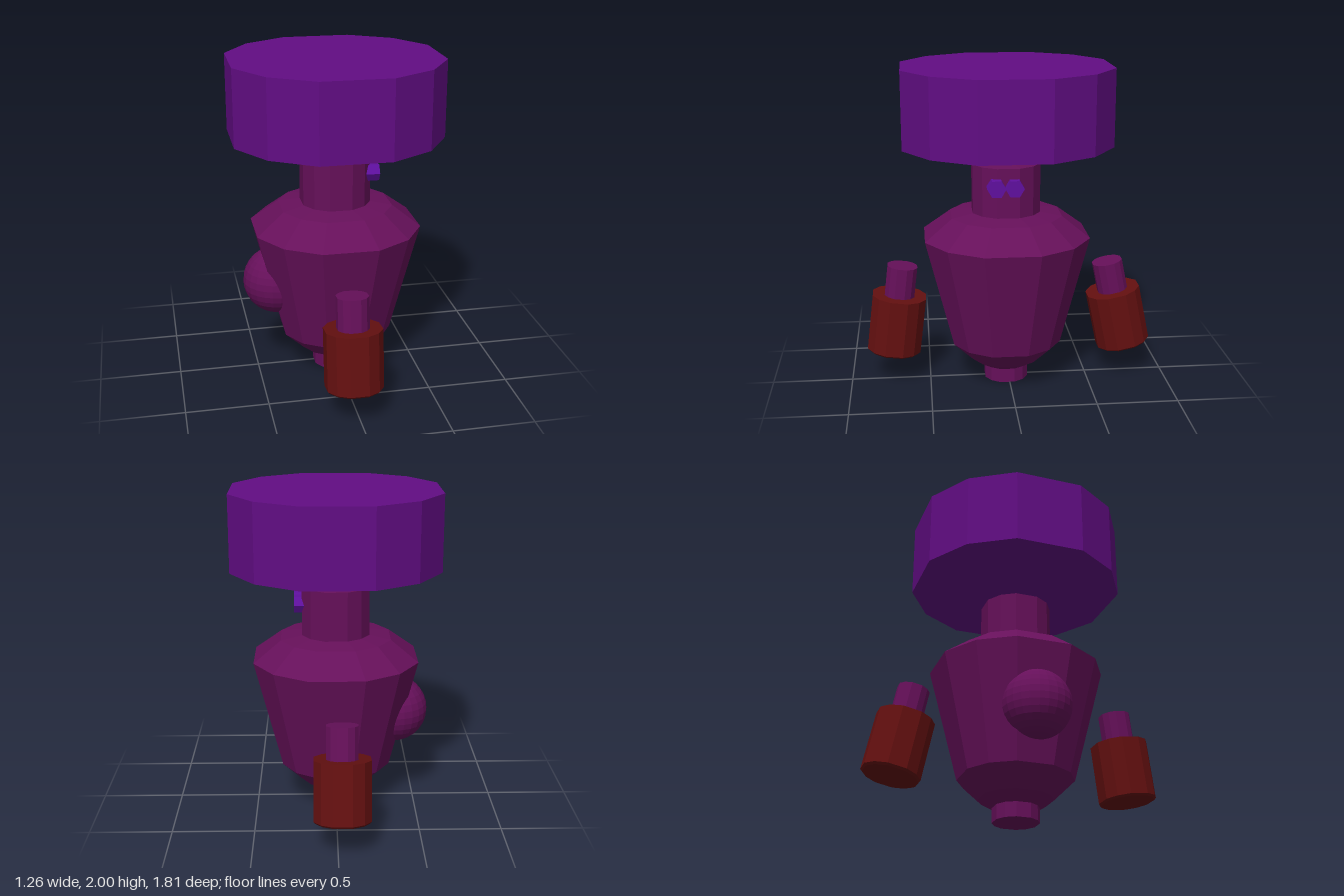
import * as THREE from 'three';

const mat = (color) => new THREE.MeshStandardMaterial({ color, flatShading: true });

// Twelve-sided turned solid; profile is [half width, y] from bottom to top.
// The corners are drawn a little towards the diagonals, so the four axis faces are wider.
function turned(profile) {
  const pts = profile.map(([w, y]) => new THREE.Vector2(w / 0.949, y));
  const geo = new THREE.LatheGeometry(pts, 12, Math.PI / 12);
  const pos = geo.attributes.position;
  for (let i = 0; i < pos.count; i++) {
    const r = Math.hypot(pos.getX(i), pos.getZ(i));
    const a = Math.atan2(pos.getX(i), pos.getZ(i));
    const b = a + 0.0686 * Math.sin(4 * a);
    pos.setX(i, r * Math.sin(b));
    pos.setZ(i, r * Math.cos(b));
  }
  geo.computeVertexNormals();
  return geo;
}

export function createModel() {
  const model = new THREE.Group();
  const plum = mat(0x66105a);
  const purple = mat(0x620d84);
  const violet = mat(0x6010a0);
  const red = mat(0x641010);

  const add = (name, geo, material, x, y, z, parent = model) => {
    const mesh = new THREE.Mesh(geo, material);
    mesh.name = name;
    mesh.position.set(x, y, z);
    parent.add(mesh);
    return mesh;
  };

  // Stem, tapered body, shoulders and neck in one profile
  add('body', turned([
    [0, 0], [0.134, 0], [0.134, 0.09], [0.215, 0.14], [0.335, 0.26],
    [0.505, 0.955], [0.338, 1.085], [0.207, 1.105], [0.207, 1.41], [0.13, 1.42], [0, 1.42],
  ]), plum, 0, 0, 0.014);

  // Wide head with a shallow conical underside
  add('head', turned([
    [0, 1.415], [0.13, 1.42], [0.63, 1.53], [0.63, 2], [0, 2],
  ]), purple, 0, 0, 0.012);

  // Pair of hexagonal eyes on the left side of the neck
  for (const z of [0.088, -0.021]) {
    const eye = add('eye', new THREE.CylinderGeometry(0.057, 0.057, 0.155, 6), violet, 0.178, 1.297, z);
    eye.rotation.z = -Math.PI / 2;
  }

  // Round bulge on the right side
  add('bulge', new THREE.SphereGeometry(0.21, 24, 16), plum, -0.37, 0.6, 0.01);

  // Floating arms at front and back: a drum with a pin, leaning in at the top
  const drum = turned([[0, 0], [0.155, 0], [0.167, 0.012], [0.167, 0.37], [0, 0.37]]);
  const pin = turned([[0, 0.3], [0.093, 0.3], [0.093, 0.565], [0, 0.565]]);
  for (const [name, z, tilt] of [['frontArm', 0.73, -0.122], ['backArm', -0.752, 0.205]]) {
    const arm = new THREE.Group();
    arm.name = name;
    arm.position.set(-0.026, 0.19, z);
    arm.rotation.x = tilt;
    add('drum', drum, red, 0, 0, 0, arm);
    add('pin', pin, plum, 0, 0, 0, arm);
    model.add(arm);
  }

  return model;
}
